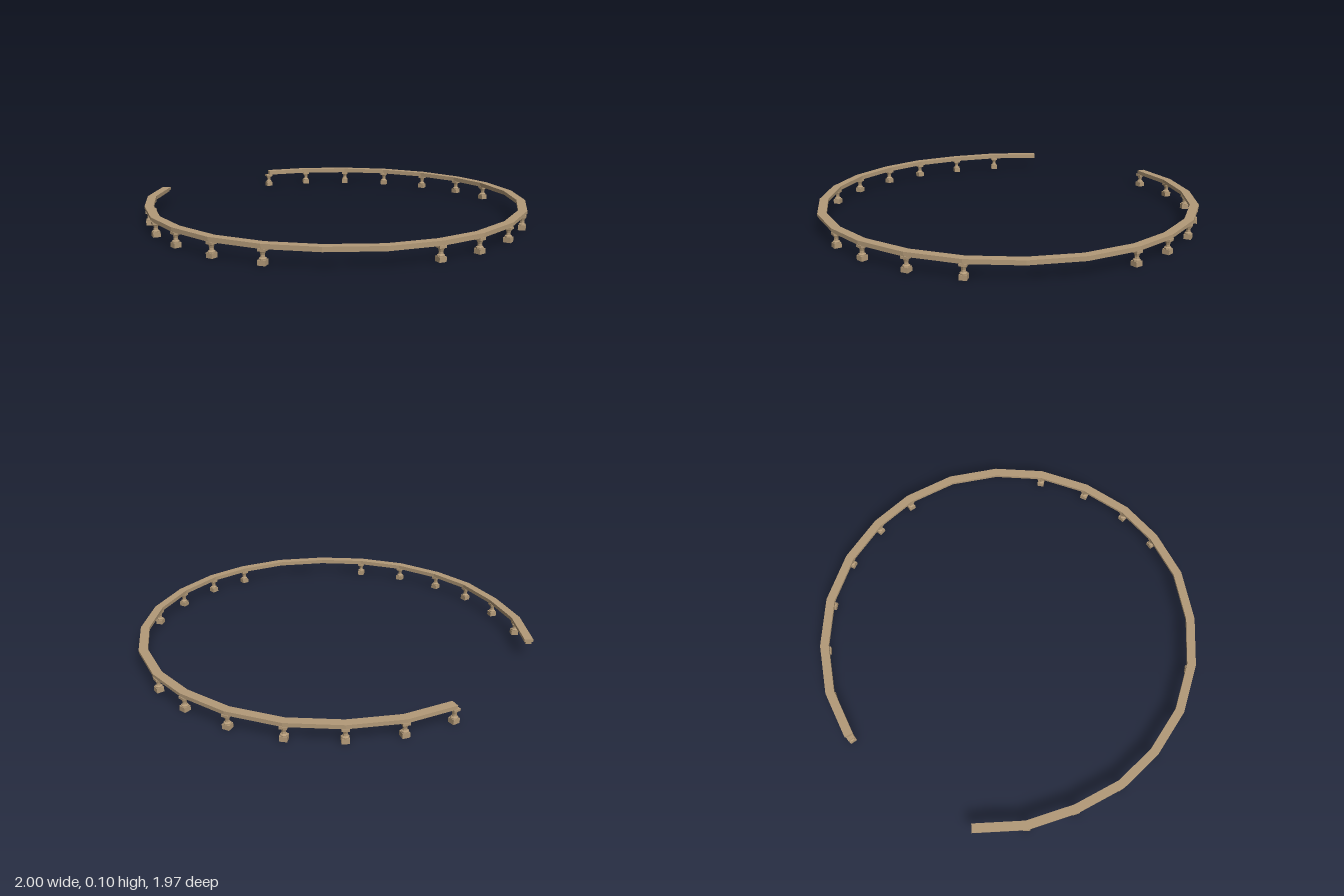
import * as THREE from 'three';

// Rail centre line [x, z, hasPost]
const PATH = [
  [-0.5, -0.925, 0], [-0.7, -0.745, 1], [-0.84, -0.53, 1], [-0.942, -0.293, 1],
  [-0.975, -0.06, 1], [-0.953, 0.195, 1], [-0.86, 0.437, 1], [-0.71, 0.645, 0],
  [-0.505, 0.82, 0], [-0.275, 0.92, 1], [-0.05, 0.957, 1], [0.207, 0.932, 1],
  [0.457, 0.842, 1], [0.67, 0.69, 0], [0.837, 0.49, 0], [0.942, 0.247, 1],
  [0.975, 0.02, 1], [0.952, -0.235, 1], [0.86, -0.485, 1], [0.705, -0.695, 1],
  [0.507, -0.862, 1], [0.277, -0.965, 1],
];

// Rail section: wide cap over a narrower bed, as (outward, y)
const SECTION = [
  [-0.015, 0.073], [0.015, 0.073], [0.015, 0.083], [0.0225, 0.083],
  [0.0225, 0.098], [-0.0225, 0.098], [-0.0225, 0.083], [-0.015, 0.083],
].map(([u, v]) => new THREE.Vector2(u, v));

function railGeometry() {
  const pts = PATH.map(([x, z]) => new THREE.Vector2(x, z));
  const dir = (i) => pts[i + 1].clone().sub(pts[i]).normalize();
  const last = pts.length - 1;
  const n = SECTION.length;
  const pos = [];
  const idx = [];
  // Mitred cross-section at every bend
  pts.forEach((p, i) => {
    const a = dir(Math.max(i - 1, 0));
    const b = dir(Math.min(i, last - 1));
    const t = a.clone().add(b).normalize();
    const stretch = 1 / t.dot(a);
    for (const s of SECTION) {
      pos.push(p.x - t.y * s.x * stretch, s.y, p.y + t.x * s.x * stretch);
    }
  });
  for (let i = 0; i < last; i++) {
    for (let j = 0; j < n; j++) {
      const k = (j + 1) % n;
      const a = i * n + j, b = a + n, c = (i + 1) * n + k, d = i * n + k;
      idx.push(a, b, c, a, c, d);
    }
  }
  // End caps
  for (const [a, b, c] of THREE.ShapeUtils.triangulateShape(SECTION, [])) {
    idx.push(a, b, c);
    idx.push(last * n + a, last * n + c, last * n + b);
  }
  const g = new THREE.BufferGeometry();
  g.setAttribute('position', new THREE.Float32BufferAttribute(pos, 3));
  g.setIndex(idx);
  const flat = g.toNonIndexed();
  flat.computeVertexNormals();
  return flat;
}

export function createModel() {
  const group = new THREE.Group();
  group.name = 'curvedBalustrade';
  const stone = new THREE.MeshStandardMaterial({ color: 0xb39a78 });
  stone.name = 'sandstone';
  stone.flatShading = true;

  const rail = new THREE.Mesh(railGeometry(), stone);
  rail.name = 'handrail';
  group.add(rail);

  // Shared post pieces: square plinth, waisted shaft, square top block
  const plinth = new THREE.BoxGeometry(0.036, 0.024, 0.036);
  const shaft = new THREE.LatheGeometry(
    [[0.018, 0.024], [0.018, 0.03], [0.011, 0.035], [0.01, 0.045], [0.013, 0.056], [0.017, 0.064]]
      .map(([r, y]) => new THREE.Vector2(r, y)), 8);
  const capital = new THREE.BoxGeometry(0.036, 0.012, 0.036);

  PATH.forEach(([x, z, hasPost]) => {
    if (!hasPost) return;
    const post = new THREE.Group();
    post.name = 'baluster';
    [['plinth', plinth, 0.012], ['shaft', shaft, 0], ['capital', capital, 0.068]].forEach(([name, geo, y]) => {
      const m = new THREE.Mesh(geo, stone);
      m.name = name;
      m.position.y = y;
      post.add(m);
    });
    post.position.set(x, 0, z);
    post.rotation.y = Math.atan2(x, z);
    group.add(post);
  });
  return group;
}
